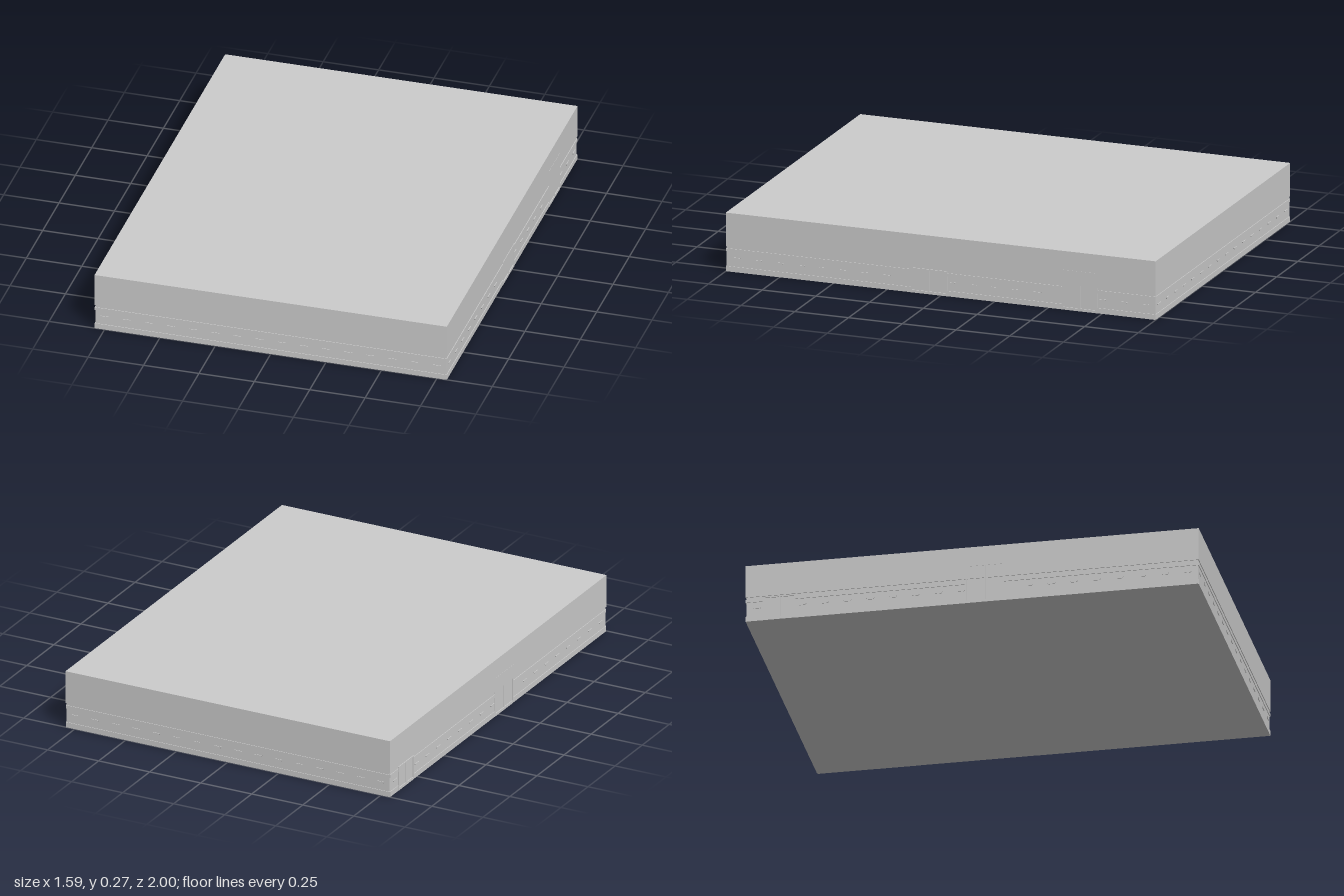
import * as THREE from 'three';

const material = new THREE.MeshStandardMaterial({ color: 0xcccccc, flatShading: true });
const W = 0.792, D = 0.997, H = 0.265; // half width, half depth, height of the walls
const OUT = 0.003;                    // projection of the trim

function box(parent, name, w, h, d, x, y, z) {
  const mesh = new THREE.Mesh(new THREE.BoxGeometry(w, h, d), material);
  mesh.name = name;
  mesh.position.set(x, y, z);
  parent.add(mesh);
  return mesh;
}

// Small lamp-like wedge, its underside narrower than its top
function hoodGeometry() {
  const s = new THREE.Shape();
  s.moveTo(-0.013, -0.003);
  s.lineTo(0.013, -0.003);
  s.lineTo(0.018, 0.004);
  s.lineTo(-0.018, 0.004);
  s.closePath();
  return new THREE.ExtrudeGeometry(s, { depth: OUT, bevelEnabled: false });
}

// One facade, drawn facing +z with u running along it; bays interrupt the trim
function facade(name, half, bays) {
  const g = new THREE.Group();
  g.name = name;
  const sorted = [...bays].sort((a, b) => a.from - b.from);

  // Runs of trim between the bays
  let start = -half;
  for (const end of [...sorted.map(b => b.from), half]) {
    const w = end - start, u = (start + end) / 2;
    box(g, 'plinth', w, 0.024, OUT, u, 0.012, OUT / 2);
    box(g, 'ledge', w, 0.014, OUT, u, 0.097, OUT / 2);
    const bay = sorted.find(b => b.from === end);
    if (bay) start = bay.to;
  }

  // Evenly spaced hoods
  const hood = hoodGeometry();
  const count = Math.round(half * 10);
  for (let i = 0; i < count * 2; i++) {
    const u = (i - count + 0.5) * 0.1;
    if (bays.some(b => u > b.from - 0.02 && u < b.to + 0.02)) continue;
    const m = new THREE.Mesh(hood, material);
    m.name = 'windowHood';
    m.position.set(u, 0.061, 0);
    g.add(m);
  }

  // Loading doors: jambs, centre post, sill and lintel
  for (const { from, to, h } of bays) {
    const mid = (from + to) / 2, door = new THREE.Group();
    door.name = 'loadingDoor';
    for (const u of [from + 0.003, mid, to - 0.003])
      box(door, 'doorPost', 0.006, h, OUT, u, h / 2, OUT / 2);
    box(door, 'doorSill', to - from, 0.012, OUT, mid, 0.006, OUT / 2);
    box(door, 'doorLintel', to - from, 0.006, OUT, mid, h - 0.003, OUT / 2);
    g.add(door);
  }
  return g;
}

export function createModel() {
  const model = new THREE.Group();
  model.name = 'warehouse';
  box(model, 'walls', W * 2, H, D * 2, 0, H / 2, 0);

  // Thin cornice carries the walls out to the trim line
  box(model, 'cornice', (W + OUT) * 2, H - 0.115, (D + OUT) * 2, 0, (H + 0.115) / 2, 0);

  const front = facade('frontFacade', W, []);
  front.position.z = D;
  const back = facade('backFacade', W, []);
  back.position.z = -D;
  back.rotation.y = Math.PI;

  // On the +x side u = -z, on the -x side u = z
  const left = facade('leftFacade', D, [
    { from: -0.14, to: 0.03, h: 0.112 },
    { from: 0.565, to: 0.73, h: 0.18 },
  ]);
  left.position.x = W;
  left.rotation.y = Math.PI / 2;
  const right = facade('rightFacade', D, [
    { from: -0.92, to: -0.78, h: 0.112 },
    { from: -0.03, to: 0.14, h: 0.18 },
  ]);
  right.position.x = -W;
  right.rotation.y = -Math.PI / 2;

  // Tall doors stand just proud of the cornice
  for (const side of [left, right])
    for (const door of side.children.filter(c => c.name === 'loadingDoor'))
      door.scale.z = 1.3;

  model.add(front, back, left, right);
  return model;
}
